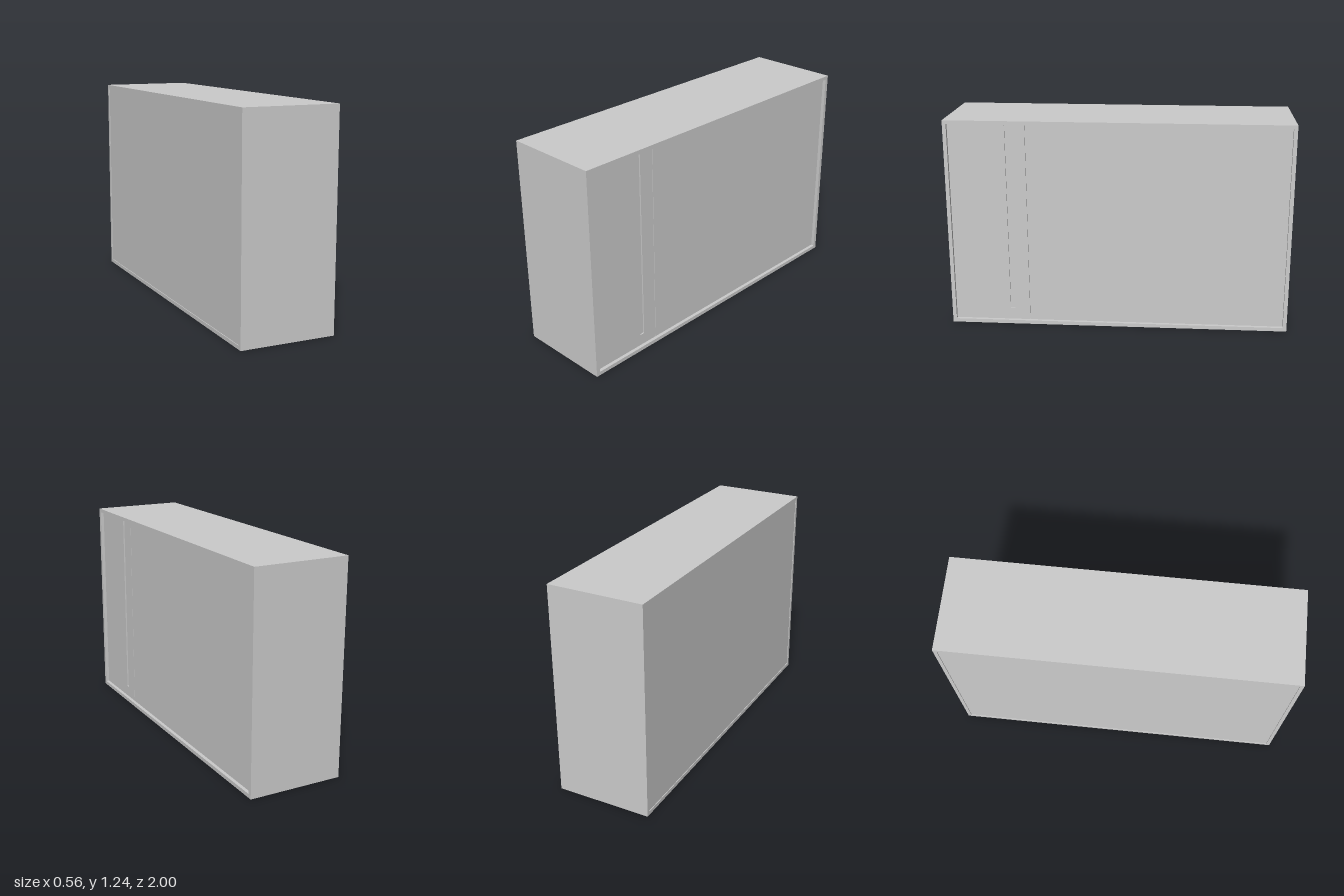
import * as THREE from 'three';

const W = 0.56, H = 1.24, L = 2.0;   // x, y, z size of the cabinet
const T = 0.022;                     // wall thickness
const RIGHT = 0.26;                  // recessed door face on the +x side
const BACK = -0.276;                 // back panel face on the -x side

export function createModel() {
  const group = new THREE.Group();
  group.name = 'cabinet';
  const material = new THREE.MeshStandardMaterial({ color: 0xcccccc, flatShading: true });

  // Box given by its lower and upper corners
  const box = (name, x0, x1, y0, y1, z0, z1) => {
    const mesh = new THREE.Mesh(new THREE.BoxGeometry(x1 - x0, y1 - y0, z1 - z0), material);
    mesh.position.set((x0 + x1) / 2, (y0 + y1) / 2, (z0 + z1) / 2);
    mesh.name = name;
    group.add(mesh);
  };

  // Four outer walls as one rectangular sleeve running along x
  const outline = new THREE.Shape([
    new THREE.Vector2(-L / 2, 0), new THREE.Vector2(L / 2, 0),
    new THREE.Vector2(L / 2, H), new THREE.Vector2(-L / 2, H),
  ]);
  outline.holes.push(new THREE.Path([
    new THREE.Vector2(-L / 2 + T, T), new THREE.Vector2(-L / 2 + T, H - T),
    new THREE.Vector2(L / 2 - T, H - T), new THREE.Vector2(L / 2 - T, T),
  ]));
  const sleeve = new THREE.ExtrudeGeometry(outline, { depth: W, bevelEnabled: false });
  sleeve.translate(0, 0, -W / 2).rotateY(Math.PI / 2);
  const casing = new THREE.Mesh(sleeve, material);
  casing.name = 'casing';
  group.add(casing);

  // Back panel, almost flush with the casing
  const zi = L / 2 - T, y0 = T, y1 = H - T;
  box('backPanel', BACK, BACK + 0.02, y0, y1, -zi, zi);

  // Door pair, parted by a narrow seam with a backing behind it
  const seam = 0.53, gap = 0.0015, inner = RIGHT - 0.008;
  box('doorBacking', inner - 0.02, inner, y0, y1, -zi, zi);
  box('wideDoor', inner, RIGHT, y0, y1, -zi, seam - gap);

  // Narrow door with a vertical grip groove that stops above the bottom
  const g0 = 0.62, g1 = 0.648, gy = 0.09;
  box('narrowDoorInnerStile', inner, RIGHT, y0, y1, seam + gap, g0);
  box('narrowDoorOuterStile', inner, RIGHT, y0, y1, g1, zi);
  box('narrowDoorGrooveStop', inner, RIGHT, y0, gy, g0, g1);

  return group;
}
